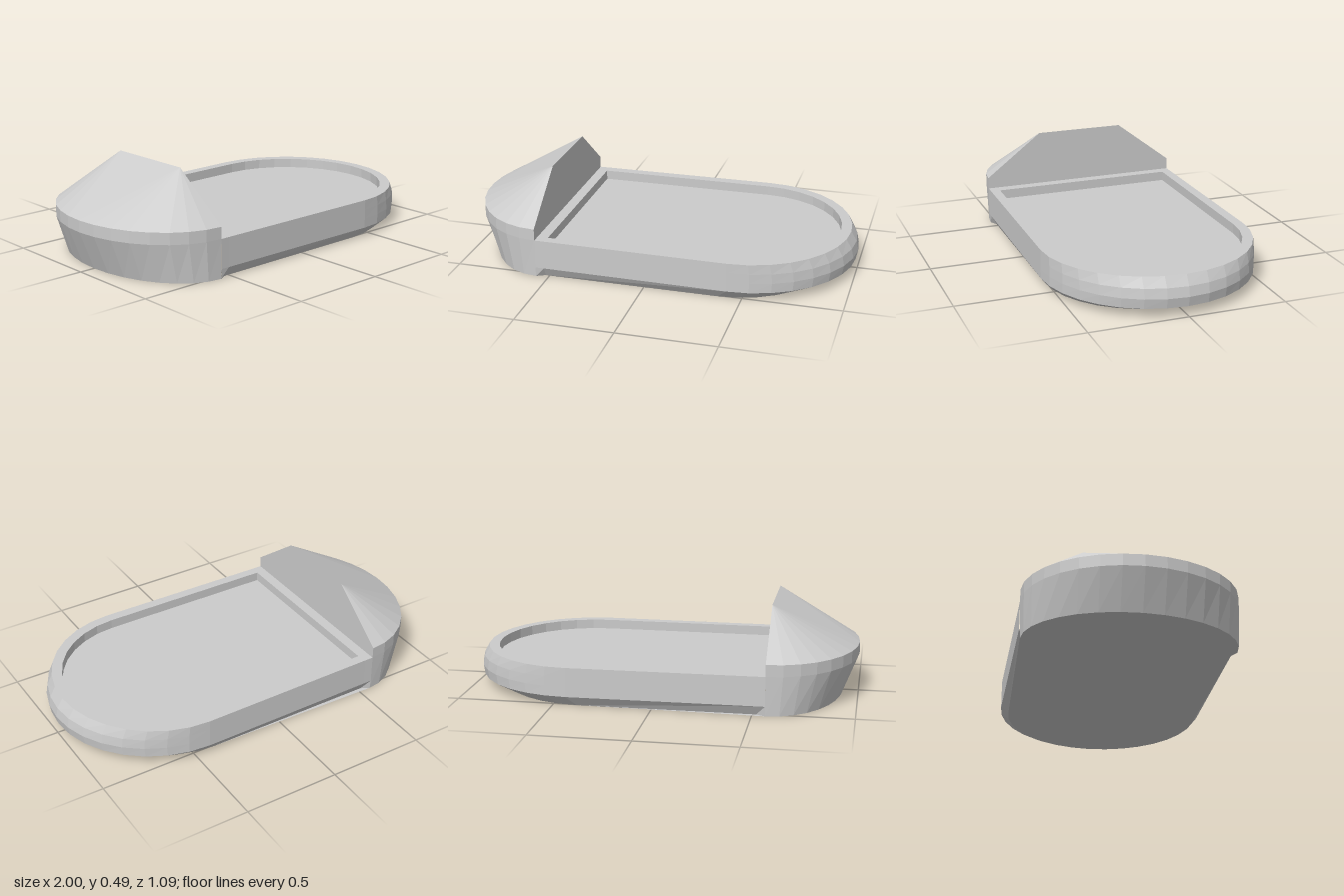
import * as THREE from 'three';

const SEG = 16;     // facets in each rounded end
const SEAM = -0.565; // where the raised end meets the tray
const material = new THREE.MeshStandardMaterial({ color: 0xcccccc, flatShading: true });

const v = (x, y, z) => new THREE.Vector3(x, y, z);

// Half ellipse running from +z to -z, bulging towards dir * x
function arc(cx, y, rx, rz, dir) {
  return Array.from({ length: SEG + 1 }, (_, i) => {
    const t = (i / SEG) * Math.PI;
    return v(cx + dir * rx * Math.sin(t), y, rz * Math.cos(t));
  });
}

// U-shaped outline: straight sides from the given +z points, then a round end
function outline(sidePoints, cx, y, rx, rz) {
  const near = sidePoints.map(([x, z]) => v(x, y, z));
  const far = sidePoints.map(([x, z]) => v(x, y, -z)).reverse();
  return [...near, ...arc(cx, y, rx, rz, 1), ...far];
}

// Strip of quads between two outlines
function strip(tris, a, b, closed) {
  const n = a.length;
  for (let i = 0; i < (closed ? n : n - 1); i++) {
    const j = (i + 1) % n;
    tris.push(a[i], a[j], b[j], a[i], b[j], b[i]);
  }
}

// Convex polygon as a fan
function fan(tris, pts) {
  for (let i = 1; i < pts.length - 1; i++) tris.push(pts[0], pts[i], pts[i + 1]);
}

function makeMesh(name, tris) {
  const geometry = new THREE.BufferGeometry().setFromPoints(tris);
  geometry.computeVertexNormals();
  const mesh = new THREE.Mesh(geometry, material);
  mesh.name = name;
  return mesh;
}

export function createModel() {
  const group = new THREE.Group();
  group.name = 'roundEndedTray';

  // Tray hull: bevelled foot, bulging round end
  const wall = (y, rx) => outline([[SEAM, 0.535], [-0.52, 0.535]], 0.43, y, rx, 0.544);
  const foot = outline([[SEAM, 0.53], [-0.52, 0.507]], 0.38, 0, 0.49, 0.507);
  const rings = [foot, wall(0.05, 0.56), wall(0.1, 0.57), wall(0.15, 0.56), wall(0.2, 0.53)];
  const hull = [];
  for (let i = 0; i < rings.length - 1; i++) strip(hull, rings[i], rings[i + 1], false);
  fan(hull, [...foot].reverse());
  group.add(makeMesh('trayHull', hull));

  // Rim and shallow recess
  const inner = (y) => outline([[-0.51, 0.485], [-0.5, 0.485]], 0.43, y, 0.477, 0.49);
  const lip = inner(0.2), floor = inner(0.15);
  const rim = [];
  strip(rim, rings[4], lip, true);
  group.add(makeMesh('trayRim', rim));
  const recess = [];
  strip(recess, lip, floor, true);
  fan(recess, floor);
  group.add(makeMesh('trayRecess', recess));

  // Raised end: walls leaning outwards, then a short upright band
  const base = arc(SEAM, 0, 0.355, 0.53, -1);
  const band = arc(SEAM, 0.2, 0.435, 0.535, -1);
  const eave = arc(SEAM, 0.26, 0.435, 0.535, -1);
  const end = [];
  strip(end, band, base, false);
  strip(end, eave, band, false);
  fan(end, base);
  group.add(makeMesh('raisedEndWall', end));

  // Sloped hood: a fan from each top corner and a flat triangle between
  const near = v(SEAM, 0.49, 0.235), far = v(SEAM, 0.49, -0.235);
  const hood = [];
  for (let i = 0; i < SEG; i++) hood.push(i < SEG / 2 ? near : far, eave[i + 1], eave[i]);
  hood.push(near, far, eave[SEG / 2]);
  group.add(makeMesh('hood', hood));

  // Upright face of the hood towards the tray
  const face = [];
  fan(face, [band[0], band[SEG], eave[SEG], far, near, eave[0]]);
  group.add(makeMesh('hoodFace', face));

  return group;
}
